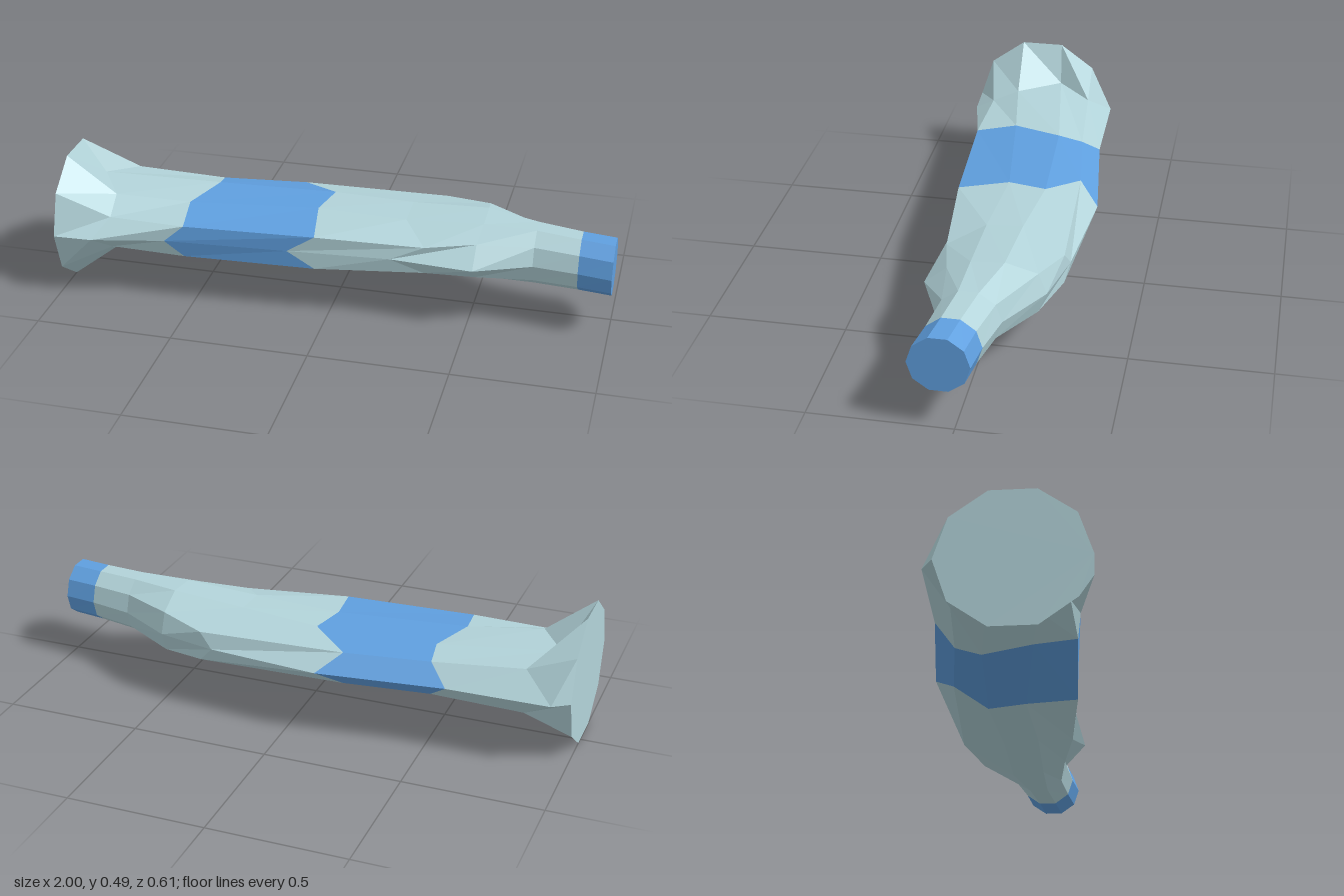
import * as THREE from 'three';

const SIDES = 10, MID = 0.245;

// Regular ten-sided ring around the x axis
function roundRing(x, z, rz, ry) {
  return Array.from({ length: SIDES }, (_, k) => {
    const a = k / SIDES * Math.PI * 2;
    return [x, MID + ry * Math.sin(a), z + rz * Math.cos(a)];
  });
}

// Hand-shaped ring: six points over the top half, mirrored below
function shapedRing(half) {
  const lower = half.slice(1, 5).reverse().map(([x, y, z]) => [x, 2 * MID - y, z]);
  return [...half, ...lower];
}

const flange = roundRing(-1, 0.05, 0.255, 0.256);
flange.forEach(p => { p[1] = Math.max(0, p[1]); });
const foot = shapedRing([[-0.86, MID, 0.3], [-0.81, 0.305, 0.22], [-0.82, 0.35, 0.12],
  [-0.92, 0.355, -0.04], [-0.83, 0.33, -0.165], [-0.94, MID, -0.245]]);
const bandStart = shapedRing([[-0.6, MID, 0.243], [-0.53, 0.305, 0.23], [-0.55, 0.33, 0.08],
  [-0.49, 0.332, -0.1], [-0.5, 0.308, -0.19], [-0.57, MID, -0.25]]);
const bandEnd = shapedRing([[-0.15, MID, 0.212], [-0.05, 0.308, 0.205], [-0.08, 0.332, 0.02],
  [-0.05, 0.333, -0.12], [-0.19, 0.305, -0.23], [-0.11, MID, -0.305]]);
const waist = shapedRing([[0.22, MID, 0.185], [0.34, 0.295, 0.165], [0.25, 0.335, 0.04],
  [0.25, 0.342, -0.09], [0.35, 0.3, -0.253], [0.3, MID, -0.268]]);
const shoulder = shapedRing([[0.52, MID, 0.205], [0.52, 0.31, 0.125], [0.53, 0.35, 0.04],
  [0.53, 0.358, -0.078], [0.52, 0.32, -0.19], [0.52, MID, -0.22]]);
const neck = roundRing(0.72, 0.008, 0.112, 0.11);
const tipStart = roundRing(0.88, 0.033, 0.103, 0.105);
const tipEnd = roundRing(1, 0.05, 0.105, 0.104);

// Skin between successive rings, with optional flat end caps
function loft(name, material, rings, capStart = false, capEnd = false) {
  const pos = [];
  const tri = (a, b, c) => pos.push(...a, ...b, ...c);
  for (let i = 0; i < rings.length - 1; i++) {
    for (let k = 0; k < SIDES; k++) {
      const n = (k + 1) % SIDES;
      const a = rings[i][k], b = rings[i][n], c = rings[i + 1][n], d = rings[i + 1][k];
      tri(a, d, c);
      tri(a, c, b);
    }
  }
  const first = rings[0], last = rings[rings.length - 1];
  for (let k = 1; k < SIDES - 1; k++) {
    if (capStart) tri(first[0], first[k], first[k + 1]);
    if (capEnd) tri(last[0], last[k + 1], last[k]);
  }
  const geometry = new THREE.BufferGeometry();
  geometry.setAttribute('position', new THREE.Float32BufferAttribute(pos, 3));
  // Unshared vertices give one flat normal per face
  geometry.computeVertexNormals();
  const mesh = new THREE.Mesh(geometry, material);
  mesh.name = name;
  return mesh;
}

export function createModel() {
  const paleTeal = new THREE.MeshStandardMaterial({ color: 0xb2d3d9 });
  paleTeal.name = 'paleTeal';
  const blue = new THREE.MeshStandardMaterial({ color: 0x5f9fdf });
  blue.name = 'blue';

  const model = new THREE.Group();
  model.name = 'bottle';
  model.add(
    loft('flaredBase', paleTeal, [flange, foot, bandStart], true),
    loft('labelBand', blue, [bandStart, bandEnd]),
    loft('shoulderAndNeck', paleTeal, [bandEnd, waist, shoulder, neck, tipStart]),
    loft('cap', blue, [tipStart, tipEnd], false, true),
  );
  return model;
}
